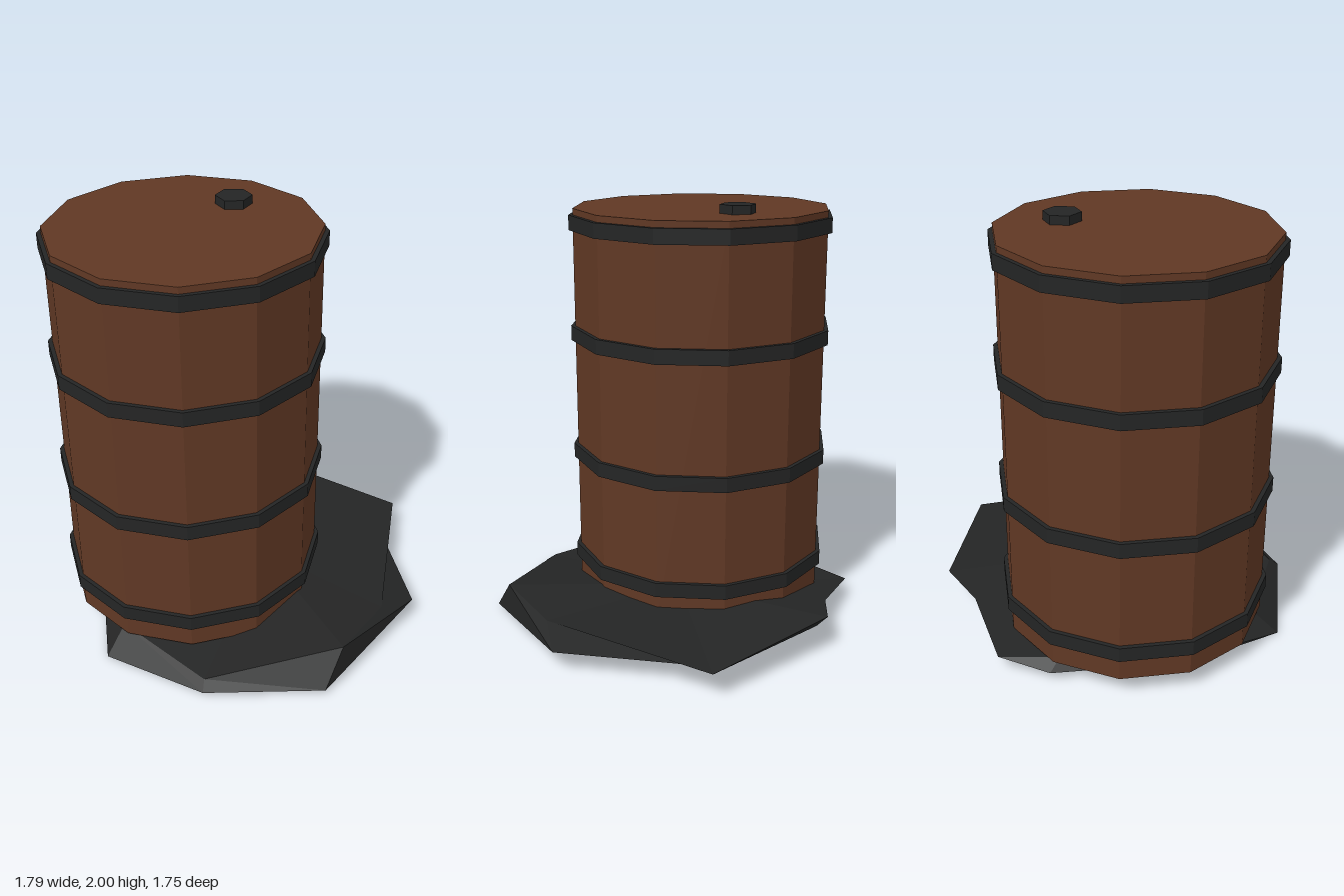
import * as THREE from 'three';

const rust = new THREE.MeshStandardMaterial({ color: 0x603824, flatShading: true });
rust.name = 'rustBrown';
const tar = new THREE.MeshStandardMaterial({ color: 0x242525, flatShading: true });
tar.name = 'tarBlack';

// Upright prism between two heights
function drum(name, material, radius, y0, y1, sides, x = 0, z = 0) {
  const mesh = new THREE.Mesh(new THREE.CylinderGeometry(radius, radius, y1 - y0, sides), material);
  mesh.name = name;
  mesh.position.set(x, (y0 + y1) / 2, z);
  return mesh;
}

// Uneven slab: an upper and a lower rim, each closed by a fan
function createPuddle() {
  const upper = [
    [-0.02, 0.19, 0.82], [0.32, 0.155, 0.66], [0.89, 0.135, 0], [0.54, 0.173, -0.61],
    [0.31, 0.14, -0.67], [-0.02, 0.085, -0.88], [-0.25, 0.09, -0.72], [-0.6, 0.09, -0.58],
    [-0.78, 0.11, 0.08], [-0.61, 0.07, 0.56],
  ];
  const lower = [
    [-0.15, 0.03, 0.875], [0.52, 0.1, 0.65], [0.74, 0.1, 0.05], [0.5, 0.11, -0.57],
    [0.29, 0.1, -0.64], [-0.02, 0.07, -0.86], [-0.25, 0.045, -0.79], [-0.7, 0.03, -0.34],
    [-0.9, 0, 0.13], [-0.64, 0.033, 0.6],
  ];
  const topCentre = [0.05, 0.16, 0];
  const bottomCentre = [0.06, 0.125, -0.02];
  const points = [];
  upper.forEach((u, i) => {
    const j = (i + 1) % upper.length;
    points.push(topCentre, u, upper[j]);
    points.push(lower[i], lower[j], u, lower[j], upper[j], u);
    points.push(bottomCentre, lower[j], lower[i]);
  });
  const geometry = new THREE.BufferGeometry();
  geometry.setAttribute('position', new THREE.Float32BufferAttribute(points.flat(), 3));
  geometry.computeVertexNormals();
  const mesh = new THREE.Mesh(geometry, tar);
  mesh.name = 'spilledPuddle';
  return mesh;
}

export function createModel() {
  const model = new THREE.Group();
  model.name = 'leakingBarrel';

  // Barrel, standing off-centre in the spill
  const barrel = new THREE.Group();
  barrel.name = 'barrel';
  barrel.position.set(-0.26, 0, -0.165);
  barrel.add(drum('barrelBody', rust, 0.612, 0.105, 1.96, 12));

  // Hoops
  [0.25, 0.78, 1.37, 1.895].forEach((y, i) => {
    barrel.add(drum(`hoop${i + 1}`, tar, 0.632, y - 0.035, y + 0.035, 12));
  });

  // Hexagonal bung on the lid
  barrel.add(drum('bungCap', tar, 0.084, 1.94, 2, 6, 0.313, -0.104));

  model.add(barrel, createPuddle());
  return model;
}
